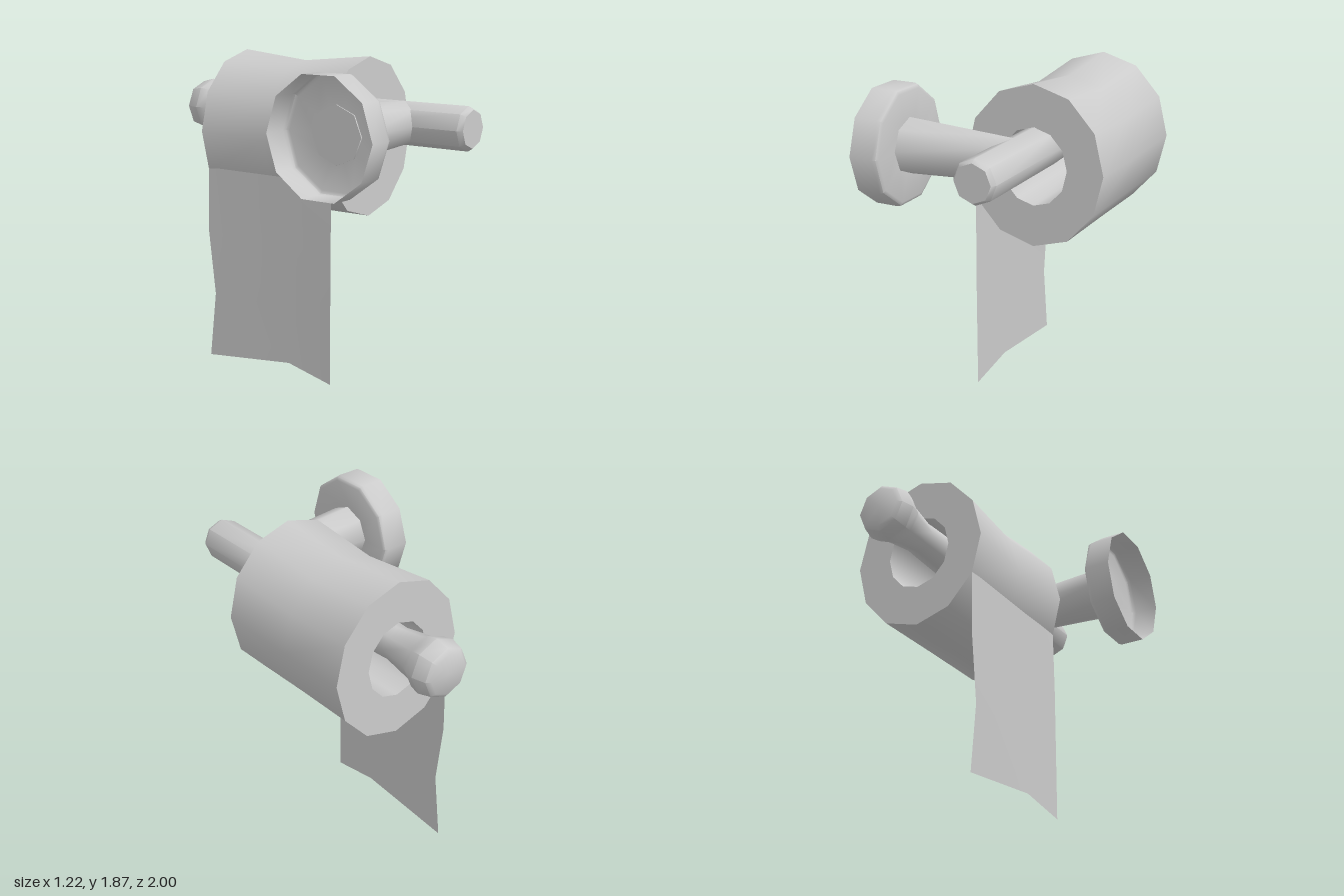
import * as THREE from 'three';
import { toCreasedNormals } from 'three/addons/utils/BufferGeometryUtils.js';

const grey = new THREE.MeshStandardMaterial({ color: 0xcccccc });
const greyThin = new THREE.MeshStandardMaterial({ color: 0xcccccc, side: THREE.DoubleSide });

// Lathe whose profile is a list of [radius, position along axis]
function turned(points, sides) {
  return new THREE.LatheGeometry(points.map(([r, a]) => new THREE.Vector2(r, a)), sides);
}

function addPart(group, name, geometry, material, x = 0, y = 0, z = 0) {
  const mesh = new THREE.Mesh(toCreasedNormals(geometry, 0.87), material);
  mesh.name = name;
  mesh.position.set(x, y, z);
  group.add(mesh);
}

export function createModel() {
  const group = new THREE.Group();
  group.name = 'toiletRollHolder';

  // Holder bar with a tapered neck and a knob at the back, along z
  const bar = turned([
    [0, -1], [0.12, -1], [0.145, -0.98], [0.165, -0.9], [0.152, -0.84], [0.127, -0.795],
    [0.097, -0.61], [0.1, -0.55], [0.125, 0.25], [0.125, 0.97], [0.107, 1], [0, 1],
  ], 8).rotateX(Math.PI / 2);
  addPart(group, 'holderBar', bar, grey, 0.195, 1.506, 0);

  // Tapered arm from the wall plate into the bar, along x
  const arm = turned([[0, -0.455], [0.162, -0.455], [0.125, 0.195], [0, 0.195]], 8).rotateZ(-Math.PI / 2);
  addPart(group, 'arm', arm, grey, 0, 1.506, 0.556);

  // Wall plate: a thin cup, open towards the wall
  const plate = turned([[0.345, -0.615], [0.345, -0.475], [0.338, -0.455], [0.32, -0.447], [0.15, -0.447]], 10)
    .rotateZ(-Math.PI / 2);
  addPart(group, 'wallPlate', plate, greyThin, 0, 1.506, 0.556);

  // Paper roll: hollow twelve-sided cylinder, slightly sagging in the middle
  const waist = -0.15;
  const roll = turned([
    [0.225, -0.612], [0.465, -0.612], [0.465, waist], [0.465, 0.315], [0.225, 0.315], [0.225, -0.612],
  ], 12).rotateX(Math.PI / 2).scale(0.903, 1, 1);
  const p = roll.attributes.position;
  for (let i = 0; i < p.count; i++) {
    if (Math.abs(p.getZ(i) - waist) < 0.01) {
      p.setXY(i, p.getX(i) * 0.955, p.getY(i) * 0.955 - 0.024);
    }
  }
  addPart(group, 'paperRoll', roll, grey, 0.19, 1.405, 0);

  // Hanging sheet: rows of [y at front, middle, back, z of back edge]
  const rows = [
    [1.18, 1.18, 1.18, -0.612], [0.78, 0.78, 0.78, -0.612],
    [0.4, 0.4, 0.4, -0.565], [0, 0.065, 0, -0.612],
  ];
  const sheet = new THREE.PlaneGeometry(1, 1, 2, rows.length - 1);
  rows.forEach(([front, middle, back, zBack], r) => {
    const x = r === 0 ? -0.174 : -0.18;
    sheet.attributes.position.setXYZ(r * 3, x, front, 0.315);
    sheet.attributes.position.setXYZ(r * 3 + 1, -0.168, middle, 0);
    sheet.attributes.position.setXYZ(r * 3 + 2, x, back, zBack);
  });
  addPart(group, 'hangingSheet', sheet, greyThin);

  return group;
}
